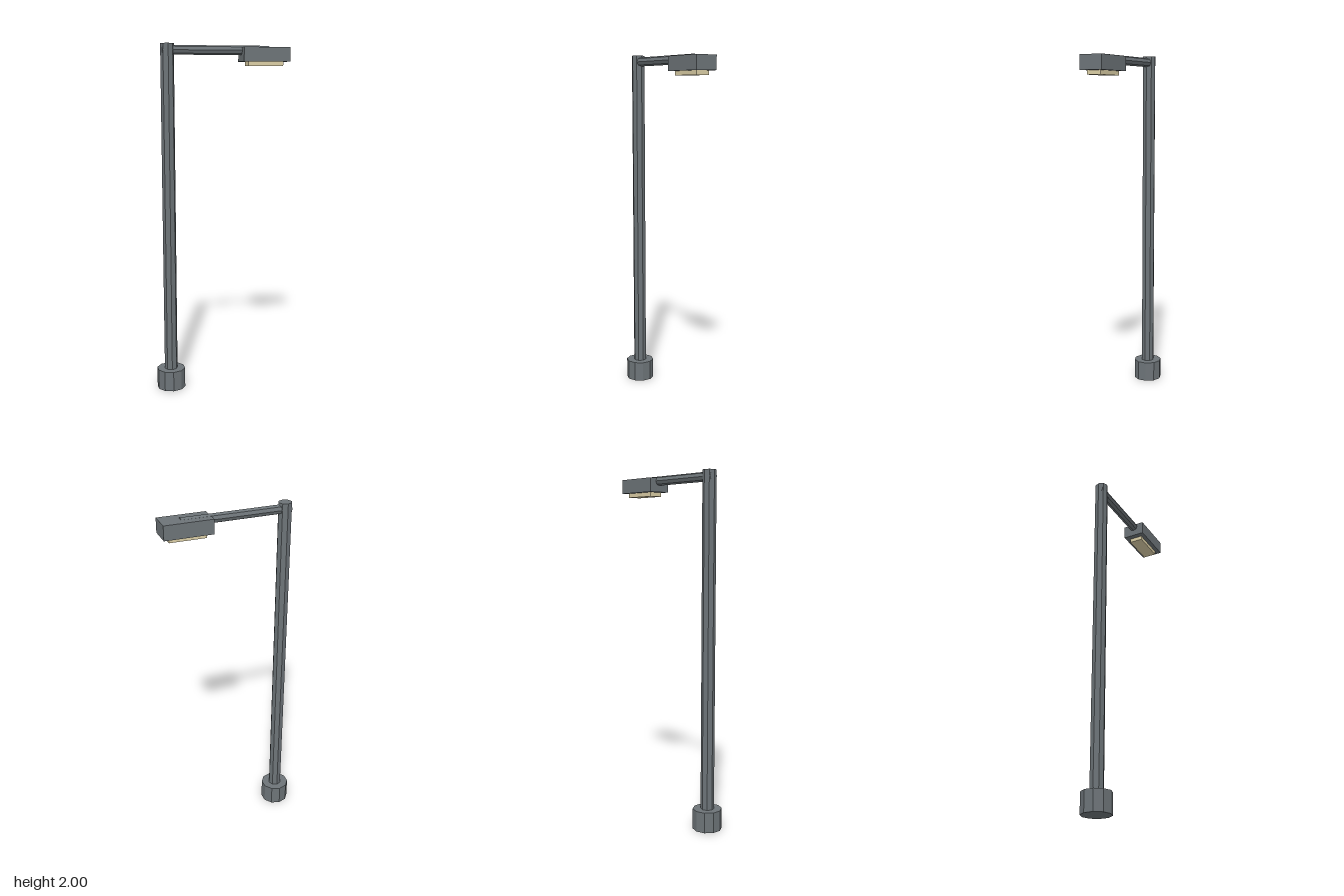
import * as THREE from 'three';

export function createModel() {
  const model = new THREE.Group();
  model.name = 'streetLamp';

  const metal = new THREE.MeshStandardMaterial({ color: 0x6d7478, flatShading: true });
  metal.name = 'grey metal';
  const glow = new THREE.MeshStandardMaterial({ color: 0xdccfa6, flatShading: true });
  glow.name = 'warm lens';

  const add = (name, geometry, material, x, y) => {
    const mesh = new THREE.Mesh(geometry, material);
    mesh.name = name;
    mesh.position.set(x, y, 0);
    model.add(mesh);
    return mesh;
  };

  const poleX = -0.306;

  // Ten-sided foot and eight-sided pole
  add('base', new THREE.CylinderGeometry(0.083, 0.083, 0.117, 10), metal, poleX, 0.0585);
  add('pole', new THREE.CylinderGeometry(0.038, 0.038, 1.95, 8), metal, poleX, 1.025);

  // Horizontal arm, running from inside the pole into the lamp head
  const arm = add('arm', new THREE.CylinderGeometry(0.026, 0.026, 0.614, 8), metal, -0.03, 1.964);
  arm.rotation.z = Math.PI / 2;

  // Lamp head with the lens under it
  add('lampHead', new THREE.BoxGeometry(0.269, 0.08, 0.13), metal, 0.2505, 1.942);
  add('lens', new THREE.BoxGeometry(0.204, 0.03, 0.08), glow, 0.25, 1.893);

  return model;
}
